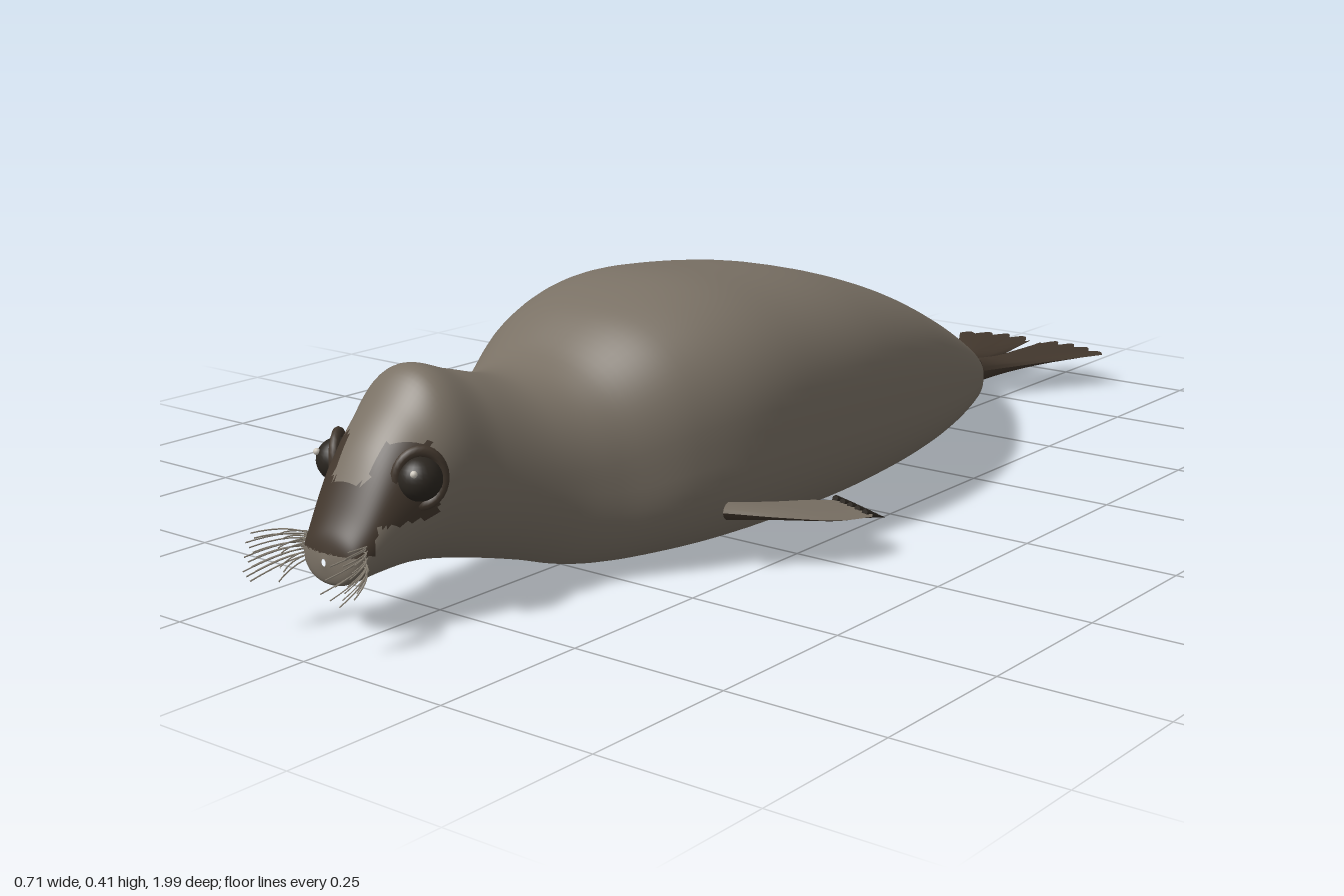
import * as THREE from 'three';

const mat = (name, color, side = THREE.FrontSide) => {
  const m = new THREE.MeshStandardMaterial({ color, side });
  m.name = name;
  return m;
};

// Body sections from tail to snout: z, right x, left x, bottom y, top y
const SECTIONS = [
  [-0.738, -0.058, -0.052, 0.052, 0.058],
  [-0.72, -0.085, -0.03, 0.035, 0.07],
  [-0.68, -0.115, 0.0, 0.022, 0.092],
  [-0.6, -0.147, 0.05, 0.012, 0.138],
  [-0.4, -0.2, 0.14, 0.006, 0.233],
  [-0.2, -0.243, 0.208, 0.003, 0.315],
  [0, -0.263, 0.246, 0.001, 0.373],
  [0.18, -0.266, 0.252, 0, 0.4],
  [0.31, -0.256, 0.238, 0, 0.404],
  [0.42, -0.23, 0.196, 0.001, 0.375],
  [0.515, -0.192, 0.135, 0.006, 0.318],
  [0.59, -0.163, 0.097, 0.028, 0.304],
  [0.68, -0.148, 0.068, 0.052, 0.326],
  [0.75, -0.142, 0.058, 0.068, 0.345],
  [0.8, -0.13, 0.046, 0.074, 0.302],
  [0.85, -0.116, 0.032, 0.073, 0.246],
  [0.893, -0.102, 0.016, 0.07, 0.17],
  [0.912, -0.088, 0.0, 0.074, 0.138],
  [0.919, -0.048, -0.04, 0.1, 0.11],
];

const MID = -0.042; // head centre line

// Dark face: muzzle block plus a band running up to each eye
const isMask = (x, y, z) => {
  const d = Math.abs(x - MID);
  if (z < 0.79 || y < 0.118) return false;
  return (y < 0.207 && d < 0.062 && z > 0.84) || (d > 0.033 && y > 0.155 && y < 0.258);
};

// Smooth loft through the sections, with rounded-box rings
function bodyGeometry(sub = 8, n = 72) {
  const cr = (a, b, c, d, t) =>
    0.5 * (2 * b + (c - a) * t + (2 * a - 5 * b + 4 * c - d) * t * t + (3 * b - a - 3 * c + d) * t ** 3);
  const last = SECTIONS.length - 1;
  const at = (i) => SECTIONS[Math.min(Math.max(i, 0), last)];
  const pos = [];
  for (let k = 0; k <= last * sub; k++) {
    const i = Math.min(Math.floor(k / sub), last - 1), t = k / sub - i;
    const [z, xr, xl, yb, yt] = at(i).map((v, c) => cr(at(i - 1)[c], v, at(i + 1)[c], at(i + 2)[c], t));
    const head = THREE.MathUtils.smoothstep(z, 0.45, 0.65);
    for (let j = 0; j < n; j++) {
      const a = (j / n) * Math.PI * 2, c = Math.cos(a), s = Math.sin(a);
      const p = 2 / THREE.MathUtils.lerp(s < 0 ? 2.8 : 2.4, 2.1, head);
      const x = (xl + xr) / 2 + (Math.sign(c) * Math.abs(c) ** p * (xl - xr)) / 2;
      const y = (yb + yt) / 2 + (Math.sign(s) * Math.abs(s) ** p * (yt - yb)) / 2;
      pos.push(x, Math.max(y, 0), z);
    }
  }
  const fur = [], mask = [];
  const add = (...t) => {
    const m = [0, 1, 2].map((c) => t.reduce((sum, v) => sum + pos[v * 3 + c], 0) / 3);
    (isMask(...m) ? mask : fur).push(...t);
  };
  for (let k = 0; k < last * sub; k++) {
    for (let j = 0; j < n; j++) {
      const a = k * n + j, b = k * n + ((j + 1) % n);
      add(a, b, b + n);
      add(a, b + n, a + n);
    }
  }
  const g = new THREE.BufferGeometry();
  g.setAttribute('position', new THREE.Float32BufferAttribute(pos, 3));
  g.setIndex([...fur, ...mask]);
  g.addGroup(0, fur.length, 0);
  g.addGroup(fur.length, mask.length, 1);
  g.computeVertexNormals();
  return g;
}

// One face of a lens-shaped fin spanned between two edge curves; dir +1 top, -1 underside
function finFace(edgeA, edgeB, dir, thick, fringe, nu = 16, nv = 32) {
  const A = new THREE.CatmullRomCurve3(edgeA.map((p) => new THREE.Vector3(...p)));
  const B = new THREE.CatmullRomCurve3(edgeB.map((p) => new THREE.Vector3(...p)));
  const pos = [], idx = [];
  for (let i = 0; i <= nu; i++) {
    for (let j = 0; j <= nv; j++) {
      const u = i / nu, v = j / nv;
      const p = A.getPoint(u).lerp(B.getPoint(u), v);
      p.y += dir * thick * (1 - 0.88 * u) * Math.sqrt(Math.sin(Math.PI * Math.min(v, 0.99999)));
      p.z -= u ** 4 * fringe(v);
      pos.push(p.x, p.y, p.z);
      if (i < nu && j < nv) {
        const a = i * (nv + 1) + j, d = a + nv + 1;
        idx.push(a, a + 1, d + 1, a, d + 1, d);
      }
    }
  }
  const g = new THREE.BufferGeometry();
  g.setAttribute('position', new THREE.Float32BufferAttribute(pos, 3));
  g.setIndex(idx);
  g.computeVertexNormals();
  return g;
}

export function createModel() {
  const fur = mat('grey brown fur', 0x7a7165);
  const finFur = mat('flipper fur', 0x7a7165, THREE.DoubleSide);
  const dark = mat('dark brown skin', 0x42372d);
  const darkFin = mat('dark brown fin', 0x42372d, THREE.DoubleSide);
  const black = mat('eye and claw brown', 0x2b2620);
  const pale = mat('pale whisker', 0x8f877a);
  const glint = mat('eye glint', 0xd0cabf);

  const model = new THREE.Group();
  const add = (name, geo, material, parent = model) => {
    const m = new THREE.Mesh(geo, material);
    m.name = name;
    parent.add(m);
    return m;
  };
  add('body', bodyGeometry(), [fur, dark]);

  for (const s of [-1, 1]) {
    const side = s > 0 ? 'left' : 'right';

    // Eye with its lid ring and glint
    const eye = new THREE.Group();
    eye.name = side + 'Eye';
    eye.position.set(MID + s * 0.079, 0.212, 0.815);
    eye.rotation.y = s * 0.95;
    model.add(eye);
    add('eyeball', new THREE.SphereGeometry(0.031, 24, 16), black, eye);
    add('eyelid', new THREE.TorusGeometry(0.033, 0.007, 8, 28), dark, eye).scale.y = 1.15;
    add('glint', new THREE.SphereGeometry(0.005, 10, 8), glint, eye).position.set(-s * 0.012, 0.014, 0.027);

    // Whiskers fanning forward and out from the muzzle
    const whiskers = new THREE.Group();
    whiskers.name = side + 'Whiskers';
    model.add(whiskers);
    for (let i = 0; i < 20; i++) {
      const r = (i * 0.618) % 1, f = i / 19;
      const start = new THREE.Vector3(MID + s * (0.046 + 0.008 * r), 0.1 + 0.03 * f, 0.88 + 0.02 * r);
      const end = new THREE.Vector3(MID + s * (0.062 + 0.04 * r), 0.073 + 0.068 * f, 0.925 + 0.073 * ((i * 0.382 + 0.3) % 1));
      const bend = new THREE.Vector3(MID + s * (0.07 + 0.015 * r), (start.y + end.y) / 2 + 0.006, 0.91);
      add('whisker', new THREE.TubeGeometry(new THREE.QuadraticBezierCurve3(start, bend, end), 6, 0.0011, 4), pale, whiskers);
    }

    // Front flipper with claws along its rear edge
    const X = (x) => -0.006 + s * x;
    const lead = [[X(0.225), 0.092, 0.39], [X(0.29), 0.082, 0.33], [X(0.34), 0.07, 0.26], [X(0.357), 0.064, 0.2]];
    const trail = [[X(0.2), 0.08, 0.33], [X(0.22), 0.074, 0.26], [X(0.24), 0.068, 0.2], [X(0.262), 0.062, 0.16]];
    const wave = (v) => 0.008 * Math.abs(Math.sin(v * 5 * Math.PI));
    const flipper = new THREE.Group();
    flipper.name = side + 'FrontFlipper';
    model.add(flipper);
    add('flipperTop', finFace(lead, trail, 1, 0.014, wave), finFur, flipper);
    add('flipperUnderside', finFace(lead, trail, -1, 0.014, wave), darkFin, flipper);
    for (let i = 0; i < 5; i++) {
      const v = (i + 0.5) / 5;
      const claw = add('claw', new THREE.ConeGeometry(0.007, 0.045, 6), black, flipper);
      claw.position.set(X(0.357 - 0.095 * v), 0.059, 0.182 - 0.04 * v);
      claw.rotation.set(-Math.PI / 2 - 0.35, 0, -s * 0.25);
    }

    // Tail fluke with a ragged end
    const T = (x) => -0.055 + s * x;
    const outer = [[T(0.03), 0.052, -0.725], [T(0.062), 0.054, -0.78], [T(0.105), 0.057, -0.85], [T(0.162), 0.06, -0.94]];
    const inner = [[T(0.002), 0.052, -0.725], [T(0.003), 0.054, -0.79], [T(0.004), 0.057, -0.87], [T(0.012), 0.06, -0.955]];
    const ragged = (v) => 0.032 * Math.abs(Math.sin(v * 4 * Math.PI + 0.5)) * (0.55 + 0.55 * v) + 0.012 * Math.sin(Math.PI * v);
    const fluke = new THREE.Group();
    fluke.name = side + 'Fluke';
    model.add(fluke);
    for (const d of [1, -1]) {
      add(d > 0 ? 'flukeTop' : 'flukeUnderside', finFace(outer, inner, d, 0.023, ragged), darkFin, fluke);
    }
  }
  return model;
}
